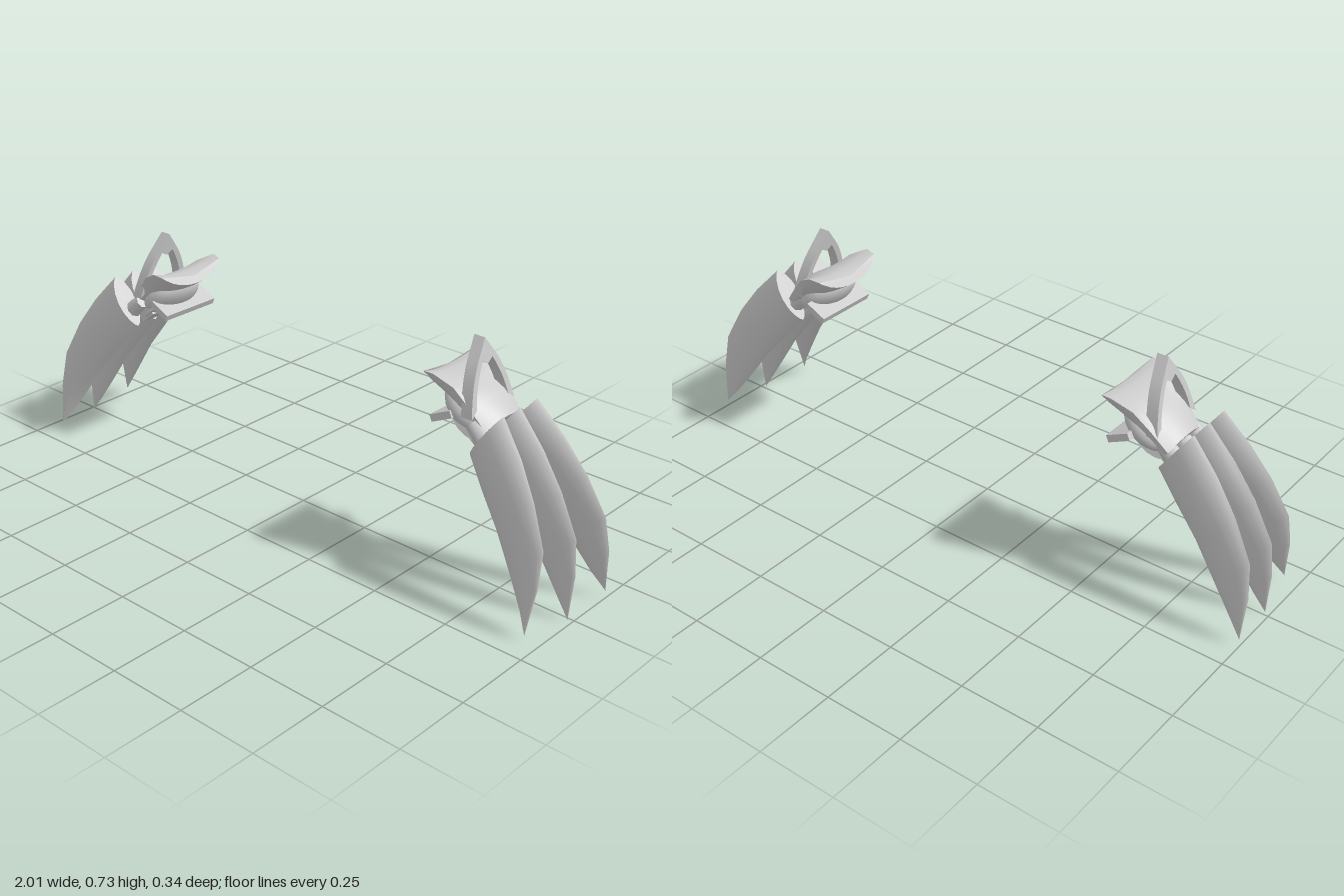
import * as THREE from 'three';
import { toCreasedNormals } from 'three/addons/utils/BufferGeometryUtils.js';

const material = new THREE.MeshStandardMaterial({ color: 0xcccccc, side: THREE.DoubleSide });
const V = (x, y, z) => new THREE.Vector3(x, y, z);

// Skin a list of equal-sized closed rings and cap both ends
function loft(rings, crease = 0.6) {
  const n = rings[0].length, pos = [], index = [];
  rings.forEach(r => r.forEach(p => pos.push(p.x, p.y, p.z)));
  for (let i = 0; i < rings.length - 1; i++) {
    for (let j = 0; j < n; j++) {
      const a = i * n + j, b = i * n + (j + 1) % n;
      index.push(a, b, a + n, b, b + n, a + n);
    }
  }
  [0, rings.length - 1].forEach((k, end) => {
    const c = rings[k].reduce((s, p) => s.add(p), V(0, 0, 0)).divideScalar(n);
    const ci = pos.length / 3;
    pos.push(c.x, c.y, c.z);
    for (let j = 0; j < n; j++) {
      const a = k * n + j, b = k * n + (j + 1) % n;
      index.push(...(end ? [ci, a, b] : [ci, b, a]));
    }
  });
  // Turn the faces outward if the enclosed volume is negative
  const P = i => V().fromArray(pos, i * 3);
  let volume = 0;
  for (let i = 0; i < index.length; i += 3) {
    volume += P(index[i]).dot(P(index[i + 1]).cross(P(index[i + 2])));
  }
  if (volume < 0) index.reverse();
  const g = new THREE.BufferGeometry();
  g.setAttribute('position', new THREE.Float32BufferAttribute(pos, 3));
  g.setIndex(index);
  return toCreasedNormals(g, crease);
}

// Blade stations: outer edge x,y, inner edge x,y, half thickness
const BLADE = [
  [0.77, 0.565, 0.67, 0.42, 0.036],
  [0.855, 0.47, 0.735, 0.34, 0.034],
  [0.925, 0.37, 0.81, 0.25, 0.026],
  [0.985, 0.25, 0.885, 0.14, 0.016],
  [0.995, 0.14, 0.945, 0.055, 0.008],
  [0.985, 0.0, 0.984, 0.003, 0.0005],
];
function blade(z0, z1, dx, dy) {
  return loft(BLADE.map(([ox, oy, ix, iy, h], i) => {
    const t = i / (BLADE.length - 1), z = z0 + (z1 - z0) * t, ring = [];
    for (let k = 0; k < 16; k++) {
      const a = k / 16 * Math.PI * 2, s = (1 - Math.cos(a)) / 2;
      const bulge = Math.sin(a) * Math.abs(Math.sin(a)) ** 0.4;
      ring.push(V(ox + (ix - ox) * s + dx * t, oy + (iy - oy) * s + dy * t, z + h * bulge));
    }
    return ring;
  }));
}

// Curved plate stations: x, y, centre z, half width, thickness, dip in the middle
function plate(stations) {
  const N = 10;
  return loft(stations.map(([x, y, z, w, th, dip]) => {
    const top = [], bottom = [];
    for (let k = 0; k <= N; k++) {
      const u = k / N * 2 - 1, lift = dip * (u * u - 0.7);
      const edge = th * (1 - 0.6 * u ** 4);
      top.push(V(x + lift * 0.5, y + lift, z + u * w));
      bottom.unshift(V(x + lift * 0.5 - edge * 0.6, y + lift - edge * 0.8, z + u * w * 0.94));
    }
    return [...top, ...bottom];
  }));
}

// Pointed arch, drawn in z,y and given its depth along x
function archGeometry() {
  const s = new THREE.Shape();
  s.moveTo(0, 0.727);
  s.lineTo(0.04, 0.672);
  s.quadraticCurveTo(0.078, 0.62, 0.098, 0.525);
  s.lineTo(0.072, 0.545);
  s.quadraticCurveTo(0.065, 0.6, 0.022, 0.668);
  s.lineTo(0, 0.655);
  s.lineTo(-0.022, 0.668);
  s.quadraticCurveTo(-0.065, 0.6, -0.072, 0.545);
  s.lineTo(-0.098, 0.525);
  s.quadraticCurveTo(-0.078, 0.62, -0.04, 0.672);
  s.closePath();
  const g = new THREE.ExtrudeGeometry(s, {
    depth: 0.036, bevelEnabled: false, curveSegments: 8,
  });
  g.translate(0, 0, -0.018).rotateY(Math.PI / 2);
  // Lean the arch so that its feet sit nearer the blades
  const p = g.attributes.position;
  for (let i = 0; i < p.count; i++) {
    p.setX(i, p.getX(i) + 0.618 + (0.727 - p.getY(i)) * 0.2);
  }
  g.translate(0, 0, -0.027);
  g.computeVertexNormals();
  return toCreasedNormals(g, 0.6);
}

// Mirror a geometry across x = 0, keeping its faces outward
function mirror(geometry) {
  const g = geometry.index ? geometry.toNonIndexed() : geometry.clone();
  g.scale(-1, 1, 1);
  for (const name of ['position', 'normal']) {
    const a = g.attributes[name];
    for (let i = 0; i < a.count; i += 3) {
      const b = V().fromBufferAttribute(a, i + 1), c = V().fromBufferAttribute(a, i + 2);
      a.setXYZ(i + 1, c.x, c.y, c.z);
      a.setXYZ(i + 2, b.x, b.y, b.z);
    }
  }
  return g;
}

export function createModel() {
  const model = new THREE.Group();
  model.name = 'clawGauntlets';
  const left = new THREE.Group(), right = new THREE.Group();
  left.name = 'leftGauntlet';
  right.name = 'rightGauntlet';
  model.add(left, right);
  const add = (name, geometry) => {
    for (const [group, g] of [[left, geometry], [right, mirror(geometry)]]) {
      const mesh = new THREE.Mesh(g, material);
      mesh.name = name;
      group.add(mesh);
    }
  };
  const tilt = -0.68; // slope of the hand toward the blades

  // Three blades fanning out
  add('frontBlade', blade(0.06, 0.172, -0.03, 0.015));
  add('middleBlade', blade(-0.016, 0.01, 0, 0));
  add('backBlade', blade(-0.095, -0.158, 0.012, 0.02));

  // Flared plate over the back of the hand
  add('handPlate', plate([
    [0.515, 0.622, -0.04, 0.125, 0.022, 0.025],
    [0.55, 0.628, -0.041, 0.131, 0.05, 0.02],
    [0.61, 0.6, -0.04, 0.112, 0.065, 0.01],
    [0.66, 0.555, -0.037, 0.096, 0.06, -0.015],
    [0.71, 0.5, -0.034, 0.082, 0.04, -0.025],
  ]));
  add('archGuard', archGeometry());

  // Rounded palm cup beneath the plate
  const palm = new THREE.SphereGeometry(1, 24, 14).scale(0.095, 0.05, 0.095);
  add('palmCup', palm.rotateZ(tilt).translate(0.61, 0.52, -0.035));

  // Grip bar across the palm and the flange carrying it
  add('gripBar', new THREE.BoxGeometry(0.075, 0.022, 0.21)
    .rotateZ(0.45).translate(0.565, 0.5, -0.042));
  add('palmFlange', new THREE.CylinderGeometry(0.075, 0.085, 0.025, 20)
    .rotateZ(tilt).translate(0.625, 0.49, -0.03));

  // Knuckle block and a tapered socket for each blade
  add('knuckleBlock', new THREE.BoxGeometry(0.06, 0.05, 0.11)
    .rotateZ(tilt).translate(0.665, 0.465, -0.02));
  for (const z of [0.045, -0.018, -0.085]) {
    add('bladeSocket', new THREE.CylinderGeometry(0.022, 0.032, 0.09, 8)
      .rotateZ(0.88).translate(0.695, 0.475, z));
  }
  return model;
}
